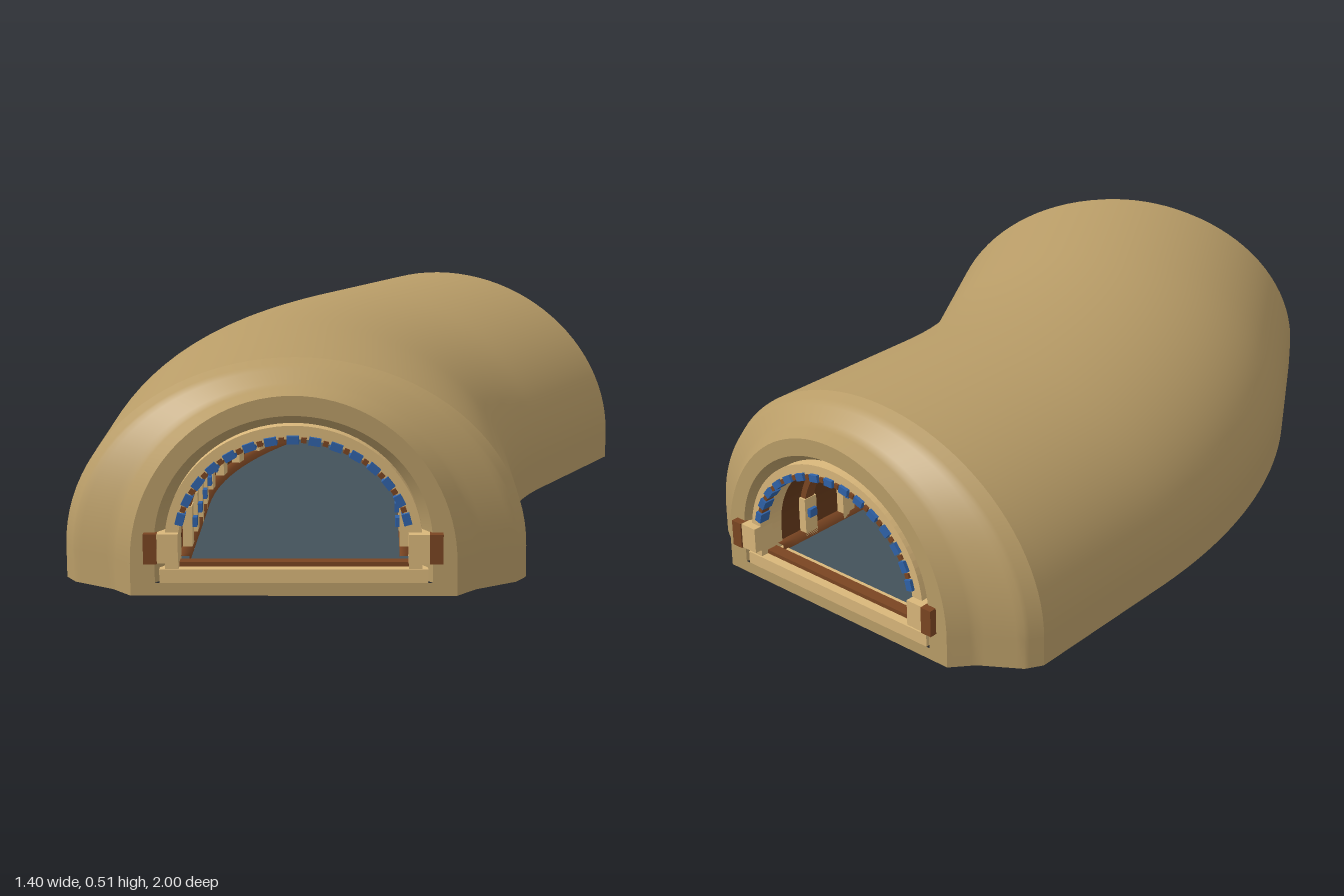
import * as THREE from 'three';

const mat = (name, color) => {
  const m = new THREE.MeshStandardMaterial({ color });
  m.name = name;
  return m;
};

// Centre line: straight, 30 degree bend, straight
const RUN = 0.605, R = 1.34, BEND = Math.PI / 6, ARC = R * BEND;
const LENGTH = RUN * 2 + ARC;
function frame(s) {
  const a = THREE.MathUtils.clamp((s - RUN) / R, 0, BEND);
  let x = -0.17 + R * (1 - Math.cos(a));
  let z = 0.98 - RUN - R * Math.sin(a);
  const extra = s < RUN ? s - RUN : Math.max(0, s - RUN - ARC);
  x += Math.sin(a) * extra;
  z -= Math.cos(a) * extra;
  return { x, z, a };
}

// Arch outline from the +x foot over the top to the -x foot
function arch(hw, h, spring, y0 = 0, n = 48) {
  const pts = [[hw, y0]];
  for (let i = 0; i <= n; i++) {
    const t = Math.PI * i / n;
    pts.push([hw * Math.cos(t), spring + (h - spring) * Math.sin(t)]);
  }
  pts.push([-hw, y0]);
  return pts;
}

// Skin over a list of cross-sections
function loft(rows, inward = false) {
  const n = rows[0].length, index = [];
  for (let i = 0; i < rows.length - 1; i++) {
    for (let j = 0; j < n - 1; j++) {
      const a = i * n + j, b = a + n, c = a + 1, d = b + 1;
      if (inward) index.push(a, c, b, b, c, d);
      else index.push(a, b, c, b, d, c);
    }
  }
  const g = new THREE.BufferGeometry();
  g.setAttribute('position', new THREE.Float32BufferAttribute(rows.flat(2), 3));
  g.setIndex(index);
  g.computeVertexNormals();
  return g;
}

// Places a flat section at distance s along the centre line
function place(section, s) {
  const f = frame(s);
  return section.map(([u, v]) => [f.x + Math.cos(f.a) * u, v, f.z + Math.sin(f.a) * u]);
}
function sweep(sectionAt, from, to, steps, inward) {
  const rows = [];
  for (let i = 0; i <= steps; i++) {
    const s = from + (to - from) * i / steps;
    rows.push(place(sectionAt(s), s));
  }
  return loft(rows, inward);
}

// Outer size of the shell: tapered towards both mouths
const TAPER = [[0, 0.365, 0.455], [0.05, 0.41, 0.467], [0.11, 0.505, 0.502], [0.15, 0.53, 0.515]];
function shellSize(s) {
  const d = Math.min(s, LENGTH - s);
  for (let i = 1; i < TAPER.length; i++) {
    const p = TAPER[i - 1], q = TAPER[i];
    if (d <= q[0]) {
      const t = (d - p[0]) / (q[0] - p[0]);
      return [p[1] + (q[1] - p[1]) * t, p[2] + (q[2] - p[2]) * t];
    }
  }
  return [0.53, 0.515];
}
const shellSection = s => { const [w, h] = shellSize(s); return arch(w, h, 0.075); };
const baseSection = s => { const w = shellSize(s)[0]; return [[-w, 0], [w, 0]]; };

// Solid arched band
function band(outer, inner, depth) {
  const pts = [...outer, ...[...inner].reverse()].map(p => new THREE.Vector2(...p));
  return new THREE.ExtrudeGeometry(new THREE.Shape(pts), { depth, bevelEnabled: false });
}

export function createModel() {
  const root = new THREE.Group();
  root.name = 'curvedTunnel';
  const shell = mat('sandstone', 0xb89c67);
  const trim = mat('paleTrim', 0xd8b67a);
  const wood = mat('brownWood', 0x7a4522);
  const lining = mat('darkLining', 0x64391a);
  const blue = mat('blueLamp', 0x2f62a8);
  const slate = mat('slateFloor', 0x43515a);

  const add = (parent, name, geometry, material, x = 0, y = 0, z = 0) => {
    const m = new THREE.Mesh(geometry, material);
    m.name = name;
    m.position.set(x, y, z);
    parent.add(m);
    return m;
  };
  const box = (w, h, d) => new THREE.BoxGeometry(w, h, d);

  // Shell, tapered ends and underside
  add(root, 'shell', sweep(shellSection, 0.15, LENGTH - 0.15, 48), shell);
  add(root, 'frontTaper', sweep(shellSection, 0, 0.15, 15), shell);
  add(root, 'backTaper', sweep(shellSection, LENGTH - 0.15, LENGTH, 15), shell);
  add(root, 'underside', sweep(baseSection, 0, LENGTH, 80), shell);

  // Interior lining, floor and side rails
  add(root, 'lining', sweep(() => arch(0.263, 0.363, 0.12, 0.05), 0.03, LENGTH - 0.03, 48, true), lining);
  add(root, 'floor', sweep(() => [[0.27, 0.058], [-0.27, 0.058]], 0.03, LENGTH - 0.03, 48), slate);
  for (const side of [-1, 1]) {
    const rail = [[0.012, 0.05], [0.012, 0.075], [-0.012, 0.075], [-0.012, 0.05]]
      .map(([u, v]) => [u + side * 0.25, v]);
    add(root, 'floorRail', sweep(() => rail, 0.06, LENGTH - 0.06, 40), wood);
  }

  // Ribs with pale posts and small lamps
  const ribGeometry = band(arch(0.264, 0.364, 0.12, 0.06, 32), arch(0.247, 0.345, 0.12, 0.06, 32), 0.03);
  const ribs = 13;
  for (let i = 0; i < ribs; i++) {
    const f = frame(0.16 + (LENGTH - 0.32) * i / (ribs - 1));
    const rib = new THREE.Group();
    rib.name = 'rib';
    rib.position.set(f.x, 0, f.z);
    rib.rotation.y = -f.a;
    root.add(rib);
    add(rib, 'ribArch', ribGeometry, wood, 0, 0, -0.015);
    for (const side of [-1, 1]) {
      add(rib, 'ribPost', box(0.022, 0.11, 0.04), trim, side * 0.249, 0.115, 0);
      add(rib, 'ribLamp', box(0.012, 0.022, 0.024), blue, side * 0.234, 0.13, 0);
    }
  }

  // Mouth, built facing +z with its face at z = 0
  function portal(name) {
    const g = new THREE.Group();
    g.name = name;
    const face = new THREE.Shape(arch(0.365, 0.455, 0.075).map(p => new THREE.Vector2(...p)));
    face.holes.push(new THREE.Path(arch(0.31, 0.41, 0.12, 0.03).map(p => new THREE.Vector2(...p))));
    add(g, 'mouthFace', new THREE.ShapeGeometry(face), shell);
    const rim = (w, h, z) => arch(w, h, 0.12, 0.03).map(([u, v]) => [u, v, z]);
    add(g, 'mouthRecess', loft([rim(0.31, 0.41, 0), rim(0.285, 0.385, -0.04)], true), shell);
    add(g, 'mouthRing', band(arch(0.287, 0.387, 0.12, 0.03), arch(0.257, 0.357, 0.12, 0.03), 0.07), trim, 0, 0, -0.075);
    add(g, 'sill', box(0.6, 0.032, 0.075), trim, 0, 0.045, -0.0385);
    add(g, 'sillStrip', box(0.52, 0.012, 0.03), wood, 0, 0.065, -0.04);

    // Blue lamps and wooden spacers around the ring
    const count = 29;
    for (let i = 0; i < count; i++) {
      const t = 0.24 + (Math.PI - 0.48) * i / (count - 1);
      const lamp = i % 2 === 0;
      const b = add(g, lamp ? 'ringLamp' : 'ringSpacer',
        lamp ? box(0.018, 0.027, 0.03) : box(0.012, 0.012, 0.024), lamp ? blue : wood,
        0.259 * Math.cos(t), 0.12 + 0.236 * Math.sin(t), -0.011);
      b.rotation.z = Math.atan2(Math.sin(t) / 0.236, Math.cos(t) / 0.259);
    }
    // Brackets at both feet of the arch
    for (const side of [-1, 1]) {
      add(g, 'bracket', box(0.066, 0.066, 0.06), trim, side * 0.289, 0.112, -0.015);
      add(g, 'bracketCap', box(0.03, 0.068, 0.05), wood, side * 0.318, 0.112, -0.006);
    }
    return g;
  }
  const front = portal('frontMouth');
  front.position.set(-0.17, 0, 0.98);
  const back = portal('backMouth');
  const end = frame(LENGTH);
  back.position.set(end.x, 0, end.z);
  back.rotation.y = Math.PI - end.a;
  root.add(front, back);
  return root;
}
